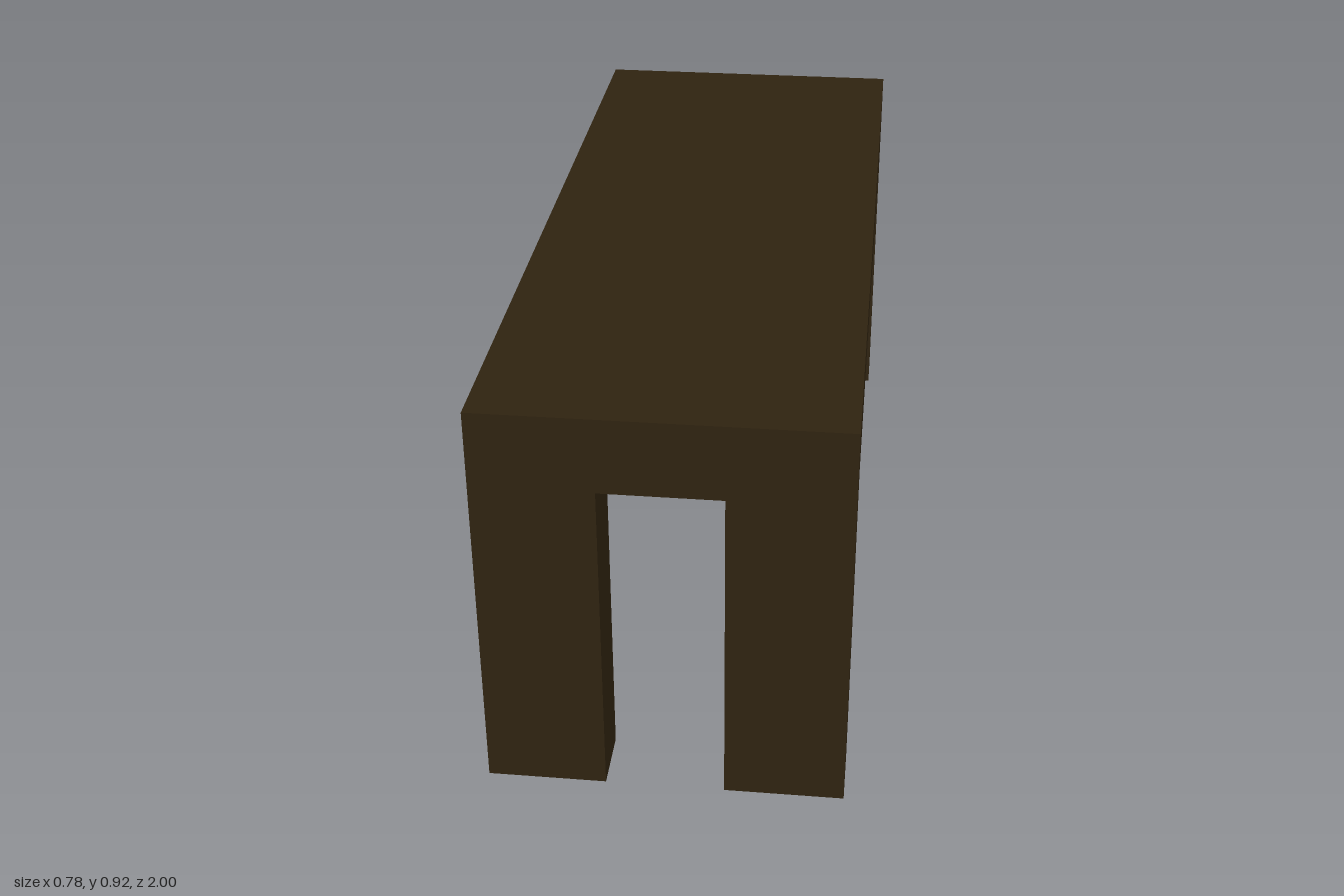
import * as THREE from 'three';

export function createModel() {
  const group = new THREE.Group();
  group.name = 'table';

  const darkWood = new THREE.MeshStandardMaterial({ color: 0x2f2310 });
  darkWood.name = 'dark wood';

  const width = 0.78, length = 2, height = 0.92;
  const topThickness = 0.17, legWidth = 0.26, legDepth = 0.14;
  const legHeight = height - topThickness;

  const addBox = (name, w, h, d, x, y, z) => {
    const mesh = new THREE.Mesh(new THREE.BoxGeometry(w, h, d), darkWood);
    mesh.name = name;
    mesh.position.set(x, y, z);
    group.add(mesh);
  };

  // Thick slab top
  addBox('tableTop', width, topThickness, length, 0, height - topThickness / 2, 0);

  // Four legs flush with the corners
  for (const [endName, sz] of [['front', 1], ['back', -1]]) {
    for (const [sideName, sx] of [['Left', 1], ['Right', -1]]) {
      addBox(`${endName}${sideName}Leg`, legWidth, legHeight, legDepth,
        sx * (width - legWidth) / 2, legHeight / 2, sz * (length - legDepth) / 2);
    }
  }

  return group;
}
